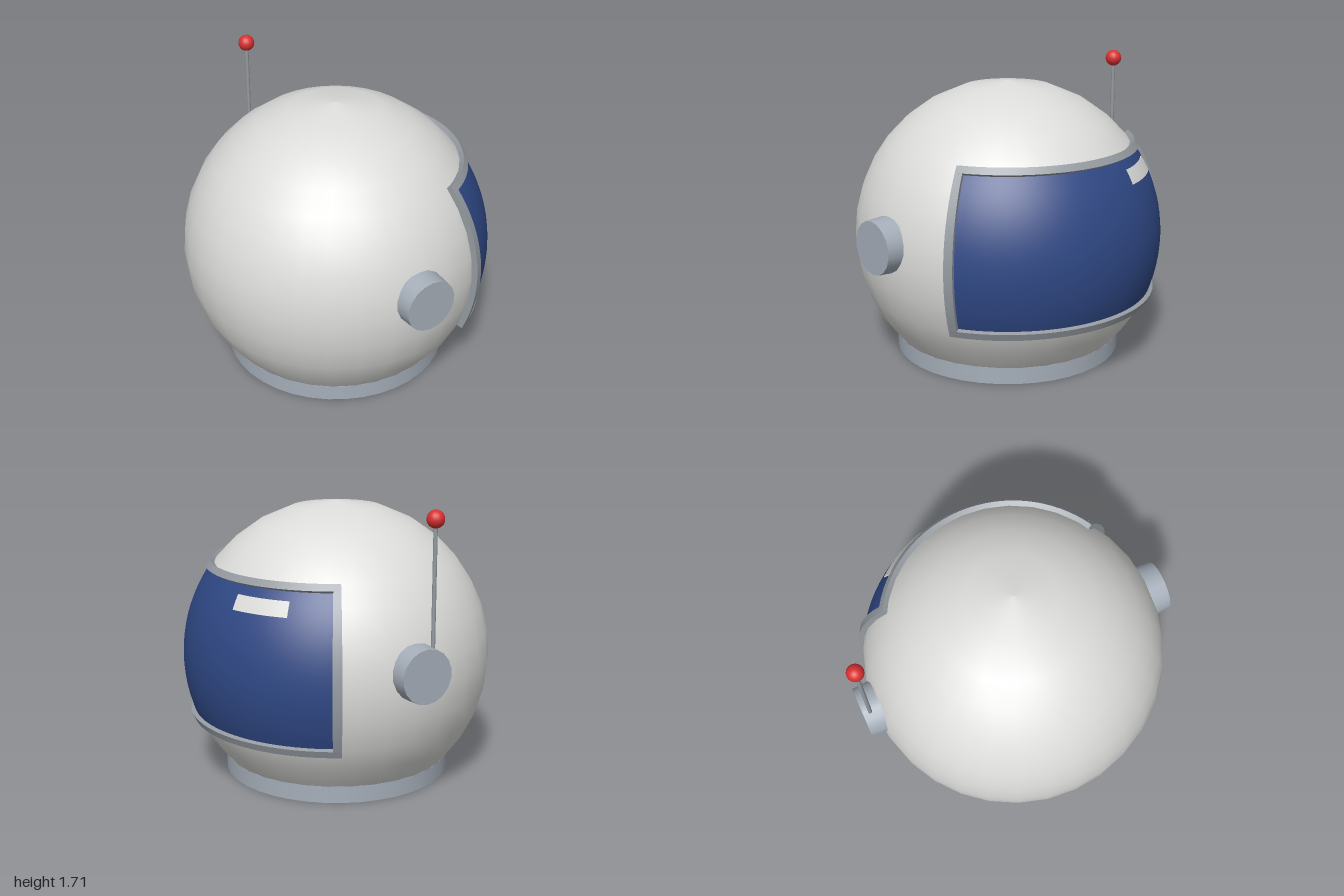
import * as THREE from 'three';

const R = 0.92;          // shell radius
const CY = 0.72;         // shell centre height
const DEG = Math.PI / 180;

const mat = (name, color, side = THREE.FrontSide) => {
  const m = new THREE.MeshStandardMaterial({ color, side });
  m.name = name;
  return m;
};

// Curved slab on the sphere: longitude runs from +x towards -z, latitude upwards.
function sphereSlab(lon0, lon1, lat0, lat1, r0, r1, nLon, nLat) {
  const geo = new THREE.BoxGeometry(1, 1, 1, nLon, nLat, 1);
  const p = geo.attributes.position;
  for (let i = 0; i < p.count; i++) {
    const lon = THREE.MathUtils.lerp(lon0, lon1, p.getX(i) + 0.5) * DEG;
    const lat = THREE.MathUtils.lerp(lat0, lat1, p.getY(i) + 0.5) * DEG;
    const r = THREE.MathUtils.lerp(r0, r1, p.getZ(i) + 0.5);
    p.setXYZ(i, r * Math.cos(lat) * Math.cos(lon), CY + r * Math.sin(lat), -r * Math.cos(lat) * Math.sin(lon));
  }
  geo.computeVertexNormals();
  return geo;
}

export function createModel() {
  const white = mat('shellWhite', 0xdcdcda, THREE.DoubleSide);
  const steel = mat('steelGrey', 0xa5aeb9);
  const trim = mat('trimGrey', 0x959ba1);
  const glass = mat('visorBlue', 0x2f4885);
  const red = mat('signalRed', 0xd83030);

  const helmet = new THREE.Group();
  helmet.name = 'helmet';
  const add = (name, geo, material, x = 0, y = 0, z = 0) => {
    const mesh = new THREE.Mesh(geo, material);
    mesh.name = name;
    mesh.position.set(x, y, z);
    helmet.add(mesh);
    return mesh;
  };

  // Round shell, open at the neck
  const polar = [132.4, 122, 112, 101, 90, 80, 70.5, 61, 51.5, 41, 30, 17, 0];
  const profile = polar.map(a => new THREE.Vector2(
    a === 0 ? 0 : R * Math.sin(a * DEG), CY + R * Math.cos(a * DEG)));
  add('shell', new THREE.LatheGeometry(profile, 32), white);

  // Neck ring: separate strips keep the edges sharp
  const ring = [[0.57, 0], [0.68, 0], [0.68, 0.1], [0.57, 0.1], [0.57, 0]];
  for (let i = 0; i < 4; i++) {
    const strip = [ring[i], ring[i + 1]].map(([x, y]) => new THREE.Vector2(x, y));
    add('neckRing', new THREE.LatheGeometry(strip, 40), steel);
  }

  // Visor and its glint
  add('visor', sphereSlab(-60, 60, -21.5, 36, 0.9, 0.925, 32, 16), glass);
  add('visorGlint', sphereSlab(17.3, 41.9, 25.6, 31.3, 0.924, 0.932, 8, 2), white);

  // Visor frame
  add('frameTop', sphereSlab(-62.3, 62.3, 34.9, 37.6, 0.89, 0.95, 32, 1), trim);
  add('frameBottom', sphereSlab(-62.3, 62.3, -23, -20.3, 0.89, 0.95, 32, 1), trim);
  for (const s of [-1, 1]) {
    const mid = s * 60.7;
    add(s < 0 ? 'frameLeft' : 'frameRight',
      sphereSlab(mid - 1.6, mid + 1.6, -20.3, 34.9, 0.89, 0.95, 1, 16), trim);
  }

  // Ear caps, slightly tapered outwards
  for (const s of [-1, 1]) {
    const cap = add(s > 0 ? 'frontEarCap' : 'backEarCap',
      new THREE.CylinderGeometry(0.156, 0.165, 0.14, 18), steel, 0, 0.81, s * 0.925);
    cap.rotation.x = s * Math.PI / 2;
  }

  // Antenna
  add('antennaRod', new THREE.CylinderGeometry(0.012, 0.012, 0.74, 10), trim, -0.06, 1.28, -0.95);
  add('antennaTip', new THREE.SphereGeometry(0.05, 16, 12), red, -0.06, 1.66, -0.95);

  return helmet;
}
